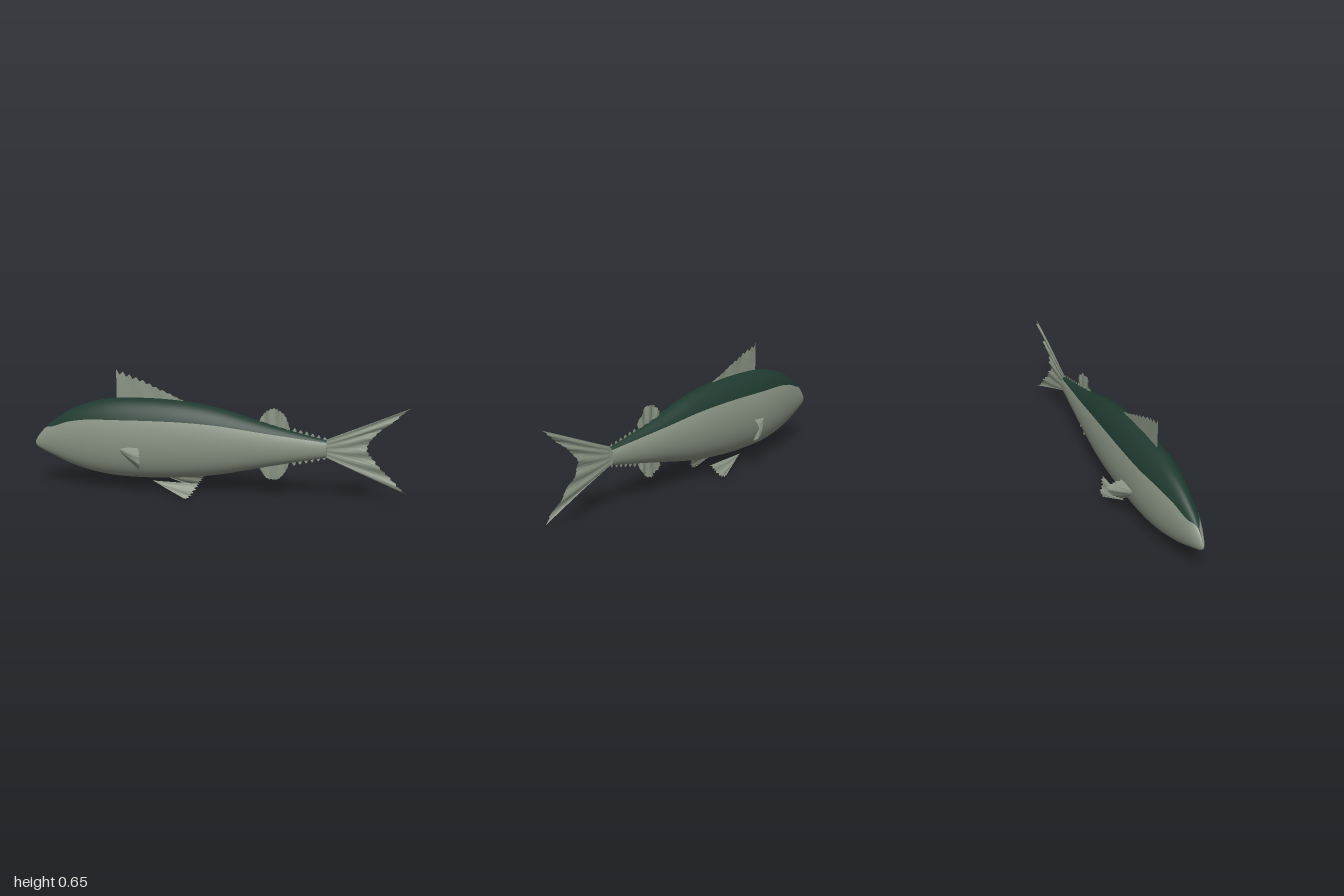
import * as THREE from 'three';

const mat = (name, color, side = THREE.FrontSide) => {
  const m = new THREE.MeshStandardMaterial({ color, side });
  m.name = name;
  return m;
};

// Body stations: x, top y, bottom y, half width, angle (degrees) where the dark back begins
const STATIONS = [
  [-1.0, 0.25, 0.232, 0.006, 89], [-0.985, 0.277, 0.215, 0.014, 89], [-0.95, 0.318, 0.197, 0.028, 82],
  [-0.9, 0.365, 0.174, 0.043, 46], [-0.8, 0.43, 0.133, 0.068, 39], [-0.68, 0.478, 0.1, 0.092, 35],
  [-0.54, 0.504, 0.081, 0.108, 32], [-0.36, 0.51, 0.079, 0.113, 32], [-0.18, 0.501, 0.09, 0.11, 33],
  [0.01, 0.471, 0.115, 0.098, 35], [0.22, 0.413, 0.161, 0.073, 38], [0.4, 0.365, 0.2, 0.048, 43],
  [0.57, 0.326, 0.235, 0.024, 50],
];

// Smooth interpolation between stations
function station(u) {
  const n = STATIONS.length - 1, i = Math.min(Math.floor(u * n), n - 1), t = u * n - i;
  const row = k => STATIONS[Math.max(0, Math.min(n, k))];
  return row(i).map((_, c) => {
    const [p, a, b, q] = [row(i - 1)[c], row(i)[c], row(i + 1)[c], row(i + 2)[c]];
    return a + 0.5 * t * (b - p + t * (2 * p - 5 * a + 4 * b - q + t * (3 * (a - b) + q - p)));
  });
}

// Elliptical loops whose first segments cover the back, the rest the flanks and belly
function bodyGeometry() {
  const rings = 72, back = 20, around = 56, pos = [], dark = [], light = [];
  for (let i = 0; i <= rings; i++) {
    const [x, top, bottom, w, deg] = station(i / rings);
    const edge = Math.min(deg, 89) * Math.PI / 180, arc = Math.PI - 2 * edge;
    for (let j = 0; j < around; j++) {
      const a = j < back ? edge + arc * j / back
        : edge + arc + (2 * Math.PI - arc) * (j - back) / (around - back);
      pos.push(x, (top + bottom) / 2 + Math.sin(a) * (top - bottom) / 2, Math.cos(a) * w);
    }
  }
  for (let i = 0; i < rings; i++) {
    for (let j = 0; j < around; j++) {
      const a = i * around + j, b = i * around + (j + 1) % around;
      (j < back ? dark : light).push(a, a + around, b + around, a, b + around, b);
    }
  }
  const g = new THREE.BufferGeometry();
  g.setAttribute('position', new THREE.Float32BufferAttribute(pos, 3));
  g.setIndex([...dark, ...light]);
  g.addGroup(0, dark.length, 0);
  g.addGroup(dark.length, light.length, 1);
  g.computeVertexNormals();
  return g;
}

// Pleated fin stretched from a root line to a tip line, with a toothed rim
function finGeometry(root, tip, { rays = 24, tooth = 0.04, ripple = 0.004, tension = 0.5 } = {}) {
  const curve = pts => new THREE.CatmullRomCurve3(
    pts.map(p => new THREE.Vector3(p[0], p[1], p[2] || 0)), false, 'catmullrom', tension);
  const a = curve(root), b = curve(tip), rows = 5, pos = [], idx = [];
  for (let i = 0; i <= rays; i++) {
    const u = i / rays, p = a.getPoint(u), q = b.getPoint(u);
    const reach = i % 2 ? 1 - tooth : 1;
    for (let r = 0; r <= rows; r++) {
      const t = r / rows, v = p.clone().lerp(q, t * reach);
      const wave = (i % 2 ? 0.5 : -0.5) + Math.sin(i * 0.9 + t * 3);
      pos.push(v.x, v.y, v.z + ripple * t * wave);
      if (i < rays && r < rows) {
        const k = i * (rows + 1) + r, m = k + rows + 1;
        idx.push(k, k + 1, m + 1, k, m + 1, m);
      }
    }
  }
  const g = new THREE.BufferGeometry();
  g.setAttribute('position', new THREE.Float32BufferAttribute(pos, 3));
  g.setIndex(idx);
  g.computeVertexNormals();
  return g;
}

export function createModel() {
  const fish = new THREE.Group();
  fish.name = 'fish';
  const backMat = mat('dark green back', 0x203a30);
  const bellyMat = mat('grey green belly', 0x8a9484);
  const finMat = mat('grey green fin', 0x8a9484, THREE.DoubleSide);
  const add = (name, geometry, material = finMat) => {
    const m = new THREE.Mesh(geometry, material);
    m.name = name;
    fish.add(m);
    return m;
  };

  add('body', bodyGeometry(), [backMat, bellyMat]);

  // Closed ends of the body
  const [tx, tTop, tBottom, tWidth] = STATIONS[STATIONS.length - 1];
  const stump = add('tailStump', new THREE.CircleGeometry(1, 32).rotateY(Math.PI / 2), bellyMat);
  stump.scale.set(1, (tTop - tBottom) / 2, tWidth);
  stump.position.set(tx, (tTop + tBottom) / 2, 0);
  const nose = add('noseTip', new THREE.SphereGeometry(1, 20, 12), bellyMat);
  nose.scale.set(0.004, 0.009, 0.006);
  nose.position.set(-0.997, 0.241, 0);

  // Tall front fin on the back
  add('dorsalFin', finGeometry(
    [[-0.54, 0.49], [-0.36, 0.5], [-0.18, 0.49]],
    [[-0.54, 0.658], [-0.42, 0.615], [-0.3, 0.56], [-0.18, 0.505]],
    { rays: 20, tooth: 0.14, ripple: 0.002 }));

  // Rounded rear fins above and below
  for (const s of [1, -1]) {
    const rim = [];
    for (let i = 0; i <= 8; i++) {
      const a = Math.PI * (1 - i / 8);
      rim.push([0.295 + 0.092 * Math.cos(a), 0.29 + s * (0.03 + 0.163 * Math.sin(a))]);
    }
    add(s > 0 ? 'rearDorsalFin' : 'analFin', finGeometry(
      [[0.225, 0.29], [0.295, 0.29], [0.365, 0.29]], rim, { rays: 32, tooth: 0.03, ripple: 0.007 }));
  }

  // Row of small finlets above and below the tail stem
  for (const s of [1, -1]) {
    const shape = new THREE.Shape();
    const count = 6, rimY = x => 0.282 + s * (0.1 - (x - 0.39) * 0.25);
    shape.moveTo(0.38, 0.282);
    for (let i = 0; i < count; i++) {
      const x = 0.385 + i * 0.031;
      shape.lineTo(x, rimY(x) - s * 0.026);
      shape.lineTo(x + 0.019, rimY(x));
      shape.lineTo(x + 0.027, rimY(x) - s * 0.008);
    }
    shape.lineTo(0.571, 0.282);
    add(s > 0 ? 'upperFinlets' : 'lowerFinlets', new THREE.ShapeGeometry(shape));
  }

  // Forked tail
  add('tailFin', finGeometry(
    [[0.568, 0.33], [0.57, 0.282], [0.568, 0.235]],
    [[0.99, 0.512], [0.9, 0.432], [0.82, 0.365], [0.78, 0.292], [0.82, 0.225], [0.9, 0.142], [0.99, 0.055]],
    { rays: 36, tooth: 0.045, ripple: 0.007 }));

  // Paired side and belly fins
  for (const s of [1, -1]) {
    const side = s > 0 ? 'left' : 'right';
    const mirror = pts => pts.map(([x, y, z]) => [x, y, z * s]);
    add(side + 'PectoralFin', finGeometry(
      mirror([[-0.515, 0.264, 0.1], [-0.51, 0.25, 0.1], [-0.5, 0.235, 0.1]]),
      mirror([[-0.395, 0.267, 0.116], [-0.373, 0.24, 0.168], [-0.37, 0.2, 0.183], [-0.38, 0.165, 0.148], [-0.39, 0.142, 0.106]]),
      { rays: 22, tooth: 0.06, ripple: 0.004 }));
    add(side + 'PelvicFin', finGeometry(
      mirror([[-0.335, 0.081, 0.069], [-0.325, 0.077, 0.07], [-0.315, 0.073, 0.071]]),
      mirror([[-0.078, 0.077, 0.07], [-0.1, 0.045, 0.088], [-0.125, 0.012, 0.104], [-0.15, 0.003, 0.11], [-0.18, 0.015, 0.105]]),
      { rays: 18, tooth: 0.06, ripple: 0.004 }));
  }
  return fish;
}
